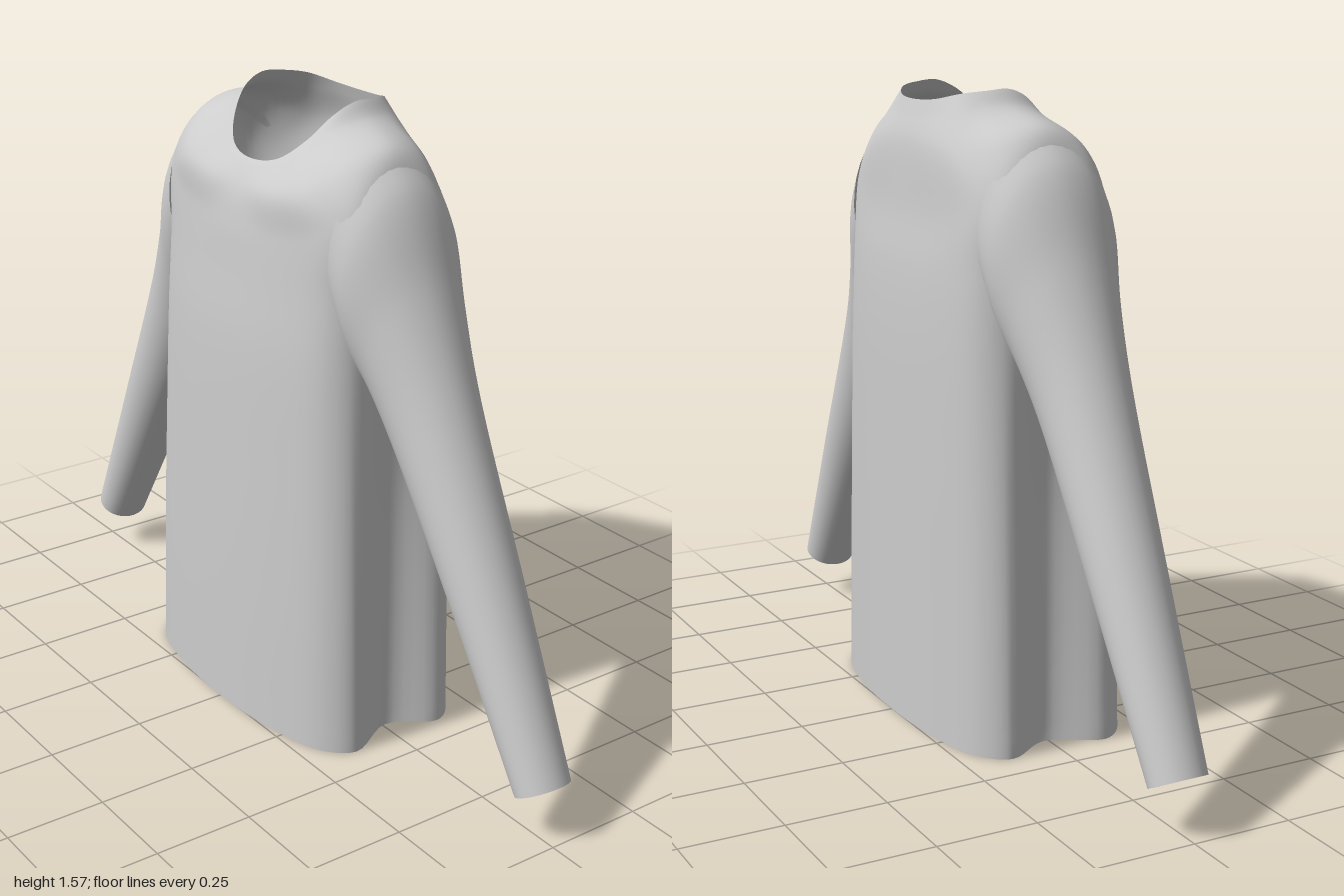
import * as THREE from 'three';

const V = (x, y, z) => new THREE.Vector3(x, y, z);

// Smooth surface through closed rings of control points; keep() may drop quads
function loft(rings, around, along, keep = () => true) {
  const curves = rings.map(r => new THREE.CatmullRomCurve3(r, true));
  const pts = [], index = [];
  const columns = [];
  for (let i = 0; i < around; i++) {
    const column = new THREE.CatmullRomCurve3(curves.map(c => c.getPoint(i / around)));
    columns.push(column.getPoints(along));
  }
  for (let j = 0; j <= along; j++)
    for (let i = 0; i < around; i++) pts.push(columns[i][j]);
  for (let j = 0; j < along; j++)
    for (let i = 0; i < around; i++) {
      const n = (i + 1) % around;
      const a = j * around + i, b = j * around + n, c = a + around, d = b + around;
      const mid = pts[a].clone().add(pts[d]).multiplyScalar(0.5);
      if (keep(mid)) index.push(a, b, d, a, d, c);
    }
  const geometry = new THREE.BufferGeometry().setFromPoints(pts);
  geometry.setIndex(index);
  geometry.computeVertexNormals();
  return geometry;
}

// Complete a half ring (front centre to back centre on +x) by mirroring
const mirrorRing = half => [
  ...half,
  ...half.slice(1, -1).reverse().map(p => V(-p.x, p.y, p.z)),
];

// Torso section: boxy oval with sides pinched inward into a fold
function torsoRing([y, w, front, back, pinch, lift]) {
  return mirrorRing([
    V(0, y, front),
    V(0.5 * w, y, 0.94 * front),
    V(0.87 * w, y + lift * 0.4, 0.77 * front),
    V(w, y + lift * 0.8, 0.5 * front),
    V(w - pinch, y + lift, -0.01),
    V(w, y + lift * 0.8, -0.52 * back),
    V(0.87 * w, y + lift * 0.4, -0.79 * back),
    V(0.5 * w, y, -0.95 * back),
    V(0, y, -back),
  ]);
}

// Sleeve section: ellipse between an upper and a lower point
function sleeveRing([ux, uy, lx, ly, front, back], side) {
  const ring = [];
  for (let k = 0; k < 12; k++) {
    const a = side * k / 12 * Math.PI * 2;
    const t = (1 - Math.cos(a)) / 2, s = Math.sin(a);
    const z = (front - back) / 2 + s * (front + back) / 2;
    ring.push(V(side * (ux + (lx - ux) * t), uy + (ly - uy) * t, z));
  }
  return ring;
}

export function createModel() {
  const group = new THREE.Group();
  group.name = 'longSleeveShirt';
  const cloth = new THREE.MeshStandardMaterial({ color: 0xcccccc, side: THREE.DoubleSide });
  cloth.name = 'light grey cloth';

  // Body, from hem to chest: y, half width, front, back, pinch, side lift
  const levels = [
    [0.005, 0.42, 0.255, 0.252, 0.06, 0],
    [0.35, 0.41, 0.25, 0.25, 0.05, 0],
    [0.7, 0.395, 0.241, 0.248, 0.035, 0],
    [1.0, 0.383, 0.23, 0.244, 0.012, 0],
    [1.16, 0.382, 0.215, 0.235, 0, 0.03],
    [1.28, 0.385, 0.203, 0.22, 0, 0.11],
  ];

  // Shoulder yoke, collar base and neck edge
  const yoke = [
    V(0, 1.36, 0.185), V(0.14, 1.37, 0.188), V(0.25, 1.4, 0.165), V(0.325, 1.46, 0.09),
    V(0.345, 1.49, -0.01), V(0.325, 1.465, -0.11), V(0.25, 1.43, -0.175),
    V(0.14, 1.44, -0.2), V(0, 1.45, -0.205),
  ];
  const collarBase = [
    V(0, 1.412, 0.156), V(0.1, 1.425, 0.145), V(0.175, 1.47, 0.11), V(0.21, 1.52, 0.05),
    V(0.225, 1.538, -0.02), V(0.215, 1.535, -0.09), V(0.18, 1.525, -0.145),
    V(0.1, 1.52, -0.175), V(0, 1.515, -0.185),
  ];
  const neckEdge = [
    V(0, 1.425, 0.145), V(0.09, 1.44, 0.13), V(0.15, 1.49, 0.09), V(0.183, 1.55, 0.035),
    V(0.191, 1.575, -0.02), V(0.185, 1.572, -0.08), V(0.155, 1.565, -0.13),
    V(0.09, 1.55, -0.165), V(0, 1.545, -0.175),
  ];

  // Leave armholes open where the sleeves join
  const outsideArmhole = p =>
    Math.abs(p.x) < 0.3 || ((p.y - 1.2) / 0.17) ** 2 + ((p.z + 0.01) / 0.11) ** 2 > 1;
  const rings = [...levels.map(torsoRing), ...[yoke, collarBase, neckEdge].map(mirrorRing)];
  const body = new THREE.Mesh(loft(rings, 96, 64, outsideArmhole), cloth);
  body.name = 'body';
  group.add(body);

  // Sleeves, shoulder to cuff: upper x, y, lower x, y, front, back
  const sleeve = [
    [0.345, 1.48, 0.335, 1.02, 0.165, 0.185],
    [0.415, 1.405, 0.355, 0.96, 0.158, 0.176],
    [0.5, 1.215, 0.395, 0.9, 0.13, 0.148],
    [0.6, 1.0, 0.455, 0.8, 0.106, 0.122],
    [0.8, 0.585, 0.672, 0.455, 0.08, 0.1],
    [1.0, 0.16, 0.89, 0.1, 0.06, 0.08],
  ];
  for (const [name, side] of [['leftSleeve', 1], ['rightSleeve', -1]]) {
    const mesh = new THREE.Mesh(loft(sleeve.map(s => sleeveRing(s, side)), 40, 36), cloth);
    mesh.name = name;
    group.add(mesh);
  }
  return group;
}
